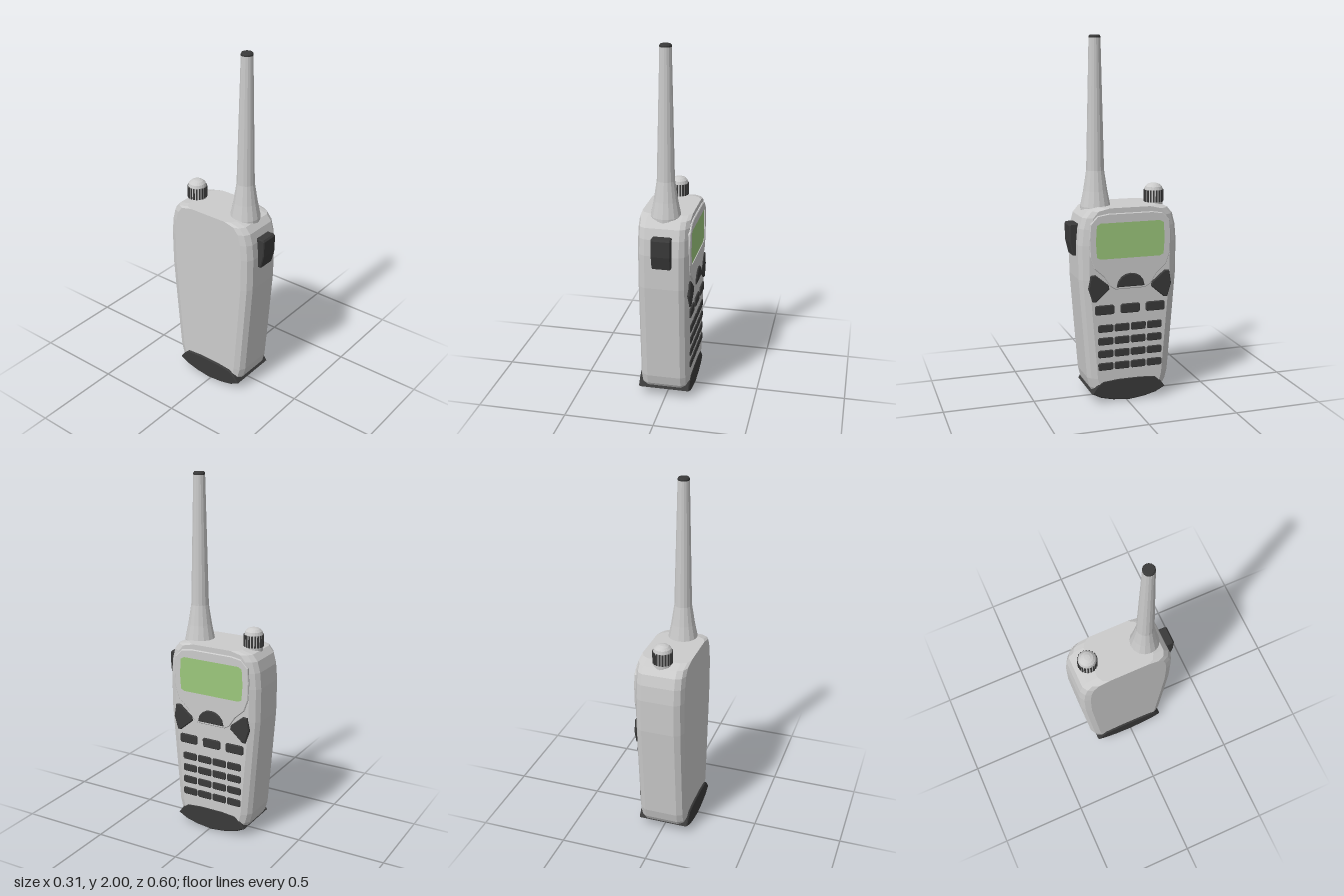
import * as THREE from 'three';

const mat = (color) => new THREE.MeshStandardMaterial({ color, flatShading: true, side: THREE.DoubleSide });
const GREY = mat(0xcccccc);
const DARK = mat(0x3a3a3a);
const GREEN = mat(0x9cc87c);
const MID = 0.017; // centre line of the case, seen from its screen side

function add(parent, name, geometry, material) {
  const mesh = new THREE.Mesh(geometry, material);
  mesh.name = name;
  parent.add(mesh);
  return mesh;
}

const shapeOf = (pts) => new THREE.Shape(pts.map(([x, y]) => new THREE.Vector2(x, y)));

// Outline extruded from z0 to z1, with an inward chamfer on both rims
function plate(shape, z0, z1, bevel = 0) {
  const geo = new THREE.ExtrudeGeometry(shape, {
    depth: z1 - z0 - 2 * bevel, bevelEnabled: bevel > 0, bevelSegments: 1,
    bevelSize: bevel, bevelThickness: bevel, bevelOffset: -bevel, curveSegments: 8,
  });
  return geo.translate(0, 0, z0 + bevel);
}

// Chamfered rectangle outline
function chamferRect(x, y, w, h, c) {
  const a = w / 2, b = h / 2;
  return [[a, -b + c], [a, b - c], [a - c, b], [-a + c, b], [-a, b - c], [-a, -b + c], [-a + c, -b], [a - c, -b]]
    .map(([u, v]) => [x + u, y + v]);
}

// Case: bevelled cross-sections stacked in height
function caseGeometry() {
  const levels = [[0.05, 0.2], [0.085, 0.221], [0.14, 0.235], [0.44, 0.259], [0.7, 0.279], [0.89, 0.281],
    [0.98, 0.273], [1.04, 0.257], [1.075, 0.228], [1.09, 0.165]];
  const zf = 0.135, zb = -0.143;
  const pos = [], index = [];
  for (const [y, w] of levels) {
    const half = [[w - 0.05, zf], [w - 0.018, zf - 0.018], [w, zf - 0.045],
      [w, zb + 0.045], [w - 0.018, zb + 0.014], [w - 0.05, zb]].reverse();
    const ring = [...half, ...half.map(([x, z]) => [-x, z]).reverse()];
    for (const [x, z] of ring) pos.push(MID + x, y, z);
  }
  const n = 12, top = (levels.length - 1) * n;
  for (let k = 0; k < top; k += n) {
    for (let i = 0; i < n; i++) {
      const j = (i + 1) % n;
      index.push(k + i, k + n + i, k + j, k + n + i, k + n + j, k + j);
    }
  }
  for (let i = 1; i < n - 1; i++) index.push(0, i, i + 1, top, top + i + 1, top + i);
  const geo = new THREE.BufferGeometry();
  geo.setAttribute('position', new THREE.Float32BufferAttribute(pos, 3));
  geo.setIndex(index);
  const flat = geo.toNonIndexed();
  flat.computeVertexNormals();
  return flat;
}

function lathe(profile, sides) {
  return new THREE.LatheGeometry(profile.map(([r, y]) => new THREE.Vector2(r, y)), sides);
}

export function createModel() {
  const model = new THREE.Group();
  model.name = 'handheldRadio';
  // Built with its screen towards +z, then turned so the screen faces +x
  const radio = new THREE.Group();
  radio.name = 'radio';
  radio.rotation.y = Math.PI / 2;
  model.add(radio);

  add(radio, 'case', caseGeometry(), GREY);

  // Rounded dark foot wrapping the bottom of the case
  const foot = shapeOf([[-0.203, 0.055], [-0.175, 0.095], [-0.14, 0.122], [-0.05, 0.13], [0.08, 0.13],
    [0.165, 0.122], [0.195, 0.095], [0.225, 0.055], [0.17, 0.027], [0.1, 0.01], [0.012, 0], [-0.08, 0.01], [-0.15, 0.027]]);
  add(radio, 'foot', plate(foot, -0.153, 0.138, 0.006), DARK);

  // Screen surround with a window, tapering to the round button below
  const sideProfile = [[0.125, 1.062], [0.185, 1.052], [0.225, 1.01], [0.232, 0.93], [0.228, 0.83],
    [0.205, 0.765], [0.15, 0.715], [0.115, 0.66], [0.085, 0.642]];
  const surround = shapeOf([...sideProfile.map(([x, y]) => [MID + x, y]),
    ...sideProfile.map(([x, y]) => [MID - x, y]).reverse()]);
  const windowPts = [[0.17, 1.016], [0.194, 1.002], [0.2, 0.91], [0.194, 0.823], [0.17, 0.811]];
  const windowOutline = [...windowPts.map(([x, y]) => [MID + x, y]),
    ...windowPts.map(([x, y]) => [MID - x, y]).reverse()];
  surround.holes.push(new THREE.Path(windowOutline.map(([x, y]) => new THREE.Vector2(x, y))));
  add(radio, 'screenSurround', plate(surround, 0.12, 0.144, 0.004), GREY);
  add(radio, 'screen', plate(shapeOf(windowOutline), 0.12, 0.139), GREEN);

  // Half-moon button and the mirrored pair of corner buttons
  const moon = new THREE.Shape();
  moon.moveTo(-0.08, 0.655);
  moon.lineTo(0.08, 0.655);
  moon.bezierCurveTo(0.075, 0.755, -0.075, 0.755, -0.08, 0.655);
  add(radio, 'menuButton', plate(moon, 0.12, 0.152, 0.005).translate(MID, 0, 0), DARK);
  const corner = [[0.225, 0.728], [0.198, 0.73], [0.125, 0.67], [0.12, 0.645], [0.195, 0.58], [0.215, 0.58], [0.237, 0.655]];
  for (const s of [-1, 1]) {
    const shape = shapeOf(corner.map(([x, y]) => [MID + s * x, y]));
    add(radio, s < 0 ? 'leftCornerButton' : 'rightCornerButton', plate(shape, 0.11, 0.146, 0.005), DARK);
  }

  // Row of three wide keys, then the keypad
  for (let c = -1; c <= 1; c++) {
    const shape = shapeOf(chamferRect(MID + c * 0.146, 0.531, 0.11, 0.053, 0.008));
    add(radio, 'wideKey', plate(shape, 0.12, 0.144, 0.004), DARK);
  }
  for (let r = 0; r < 4; r++) {
    for (let c = 0; c < 4; c++) {
      const shape = shapeOf(chamferRect(0.018 + (c - 1.5) * 0.094, 0.425 - r * 0.0725, 0.087, 0.043, 0.007));
      add(radio, 'key', plate(shape, 0.12, 0.141, 0.004), DARK);
    }
  }

  // Push-to-talk button on the side
  const talk = shapeOf([[-0.24, 1.0], [-0.292, 1.0], [-0.3, 0.99], [-0.298, 0.9], [-0.28, 0.825], [-0.24, 0.825]]);
  add(radio, 'talkButton', plate(talk, -0.055, 0.051, 0.005), DARK);

  // Antenna with a flared base and dark tip
  const antenna = new THREE.Group();
  antenna.name = 'antenna';
  antenna.position.set(-0.137, 0, -0.006);
  radio.add(antenna);
  add(antenna, 'antennaRod', lathe([[0, 1.05], [0.083, 1.05], [0.083, 1.085], [0.066, 1.17], [0.049, 1.28], [0.032, 1.985], [0, 1.985]], 16), GREY);
  add(antenna, 'antennaTip', lathe([[0.032, 1.983], [0.032, 1.993], [0.027, 2], [0, 2]], 16), DARK);

  // Ribbed knob with a domed top
  const knob = new THREE.Group();
  knob.name = 'knob';
  knob.position.set(0.2, 0, -0.004);
  radio.add(knob);
  add(knob, 'knobBody', lathe([[0, 1.05], [0.051, 1.05], [0.051, 1.16], [0.046, 1.176], [0.033, 1.188], [0.016, 1.194], [0, 1.195]], 20), GREY);
  for (let i = 0; i < 20; i++) {
    const rib = add(knob, 'knobRib', new THREE.BoxGeometry(0.009, 0.066, 0.01), DARK);
    const a = (i / 20) * Math.PI * 2;
    rib.position.set(Math.sin(a) * 0.05, 1.125, Math.cos(a) * 0.05);
    rib.rotation.y = a;
  }
  return model;
}
